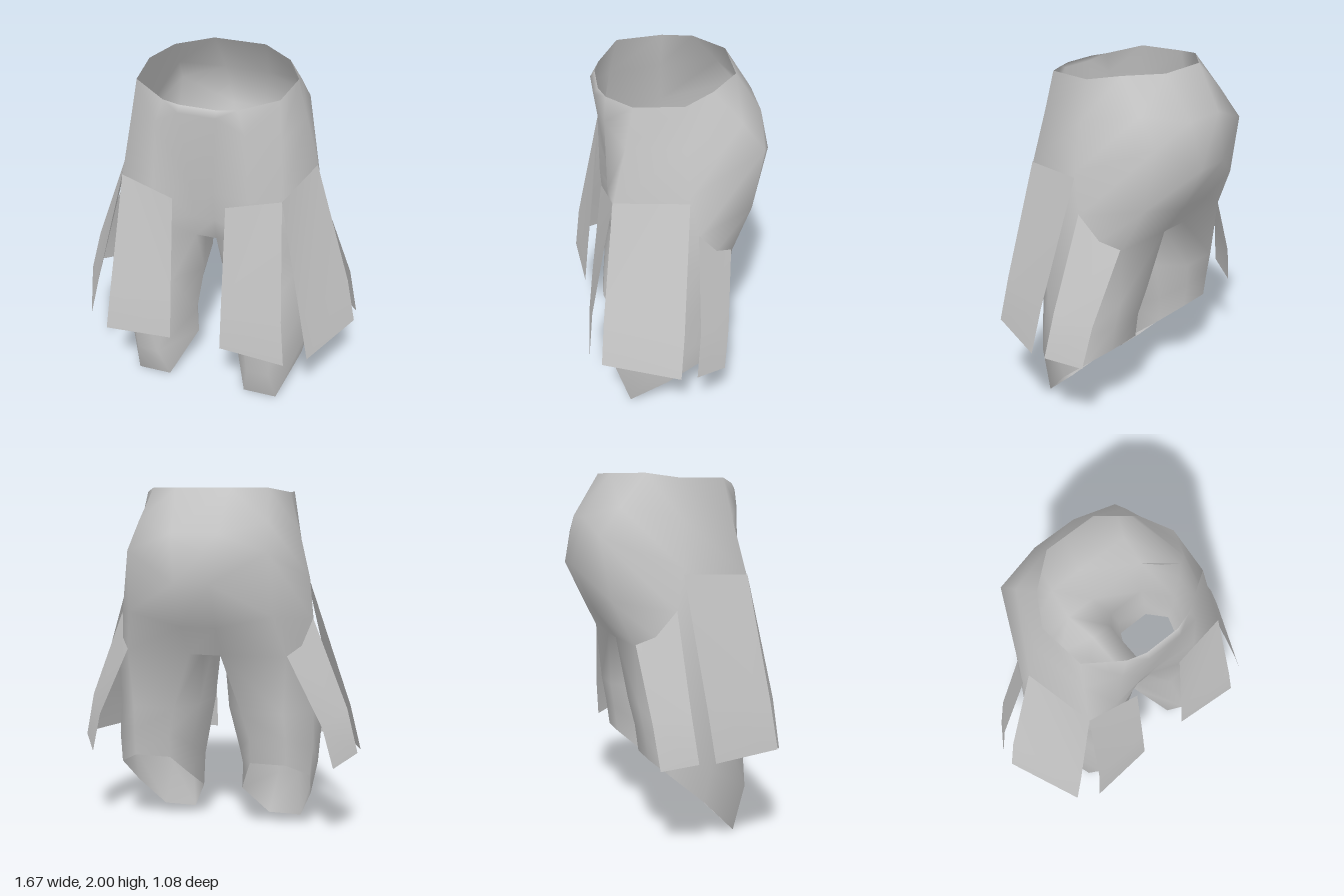
import * as THREE from 'three';
import { mergeVertices } from 'three/addons/utils/BufferGeometryUtils.js';

const mirror = ([x, y, z]) => [-x, y, z];

// Collects quads (a-b on the upper edge, d-e on the lower edge) into a smooth surface
function surface() {
  const pos = [];
  const quad = (a, b, d, e) => pos.push(...a, ...b, ...e, ...a, ...e, ...d);
  const mirrored = (...corners) => {
    const [a, b, d, e] = corners.map(mirror);
    pos.push(...a, ...e, ...b, ...a, ...d, ...e);
  };
  return {
    quad,
    mirrored,
    both(...corners) {
      quad(...corners);
      mirrored(...corners);
    },
    build() {
      const g = new THREE.BufferGeometry();
      g.setAttribute('position', new THREE.Float32BufferAttribute(pos, 3));
      const merged = mergeVertices(g, 1e-4);
      merged.computeVertexNormals();
      return merged;
    },
  };
}

// Half rings of the left side, running back - side - front
const torso = [
  [[.15, 2, -.33], [.33, 2, -.18], [.42, 1.975, -.02], [.39, 1.975, .24], [.2, 1.945, .36], [.1, 1.945, .39]],
  [[.13, 1.76, -.48], [.365, 1.82, -.33], [.475, 1.76, -.02], [.415, 1.76, .285], [.24, 1.82, .375], [.1, 1.91, .415]],
  [[.1, 1.5, -.54], [.39, 1.665, -.45], [.54, 1.5, -.03], [.45, 1.45, .36], [.27, 1.42, .375], [.06, 1.42, .35]],
  [[.1, 1.25, -.42], [.41, 1.32, -.39], [.57, 1.27, -.075], [.5, 1.2, .32], [.28, 1.2, .375], [.06, 1.22, .31]],
];
// Full leg rings: the same six columns, then the inner front and inner back
const leg = [
  [[.09, 1.08, -.29], [.46, 1.085, -.28], [.585, 1.05, -.08], [.57, 1.05, .22], [.32, 1.05, .365], [.06, 1.08, .28], [.06, 1.08, .1], [.06, 1.08, -.1]],
  [[.2, .75, -.25], [.44, .75, -.25], [.58, .75, -.08], [.6, .75, .14], [.42, .75, .34], [.2, .75, .32], [.06, .75, .14], [.09, .75, -.1]],
  [[.24, .6, -.22], [.45, .6, -.22], [.585, .55, -.1], [.575, .4, .12], [.41, .24, .38], [.28, .24, .39], [.12, .4, .12], [.15, .5, -.08]],
  [[.24, .45, -.2], [.45, .45, -.2], [.57, .38, -.11], [.54, .21, .09], [.44, 0, .3], [.24, 0, .3], [.12, .21, .09], [.18, .33, -.06]],
];

function trousers() {
  const s = surface();
  const rows = [...torso, leg[0]];
  for (let r = 0; r < rows.length - 1; r++) {
    const u = rows[r], l = rows[r + 1];
    for (let c = 0; c < 5; c++) s.both(u[c], u[c + 1], l[c], l[c + 1]);
    // centre strips at back and front
    s.quad(mirror(u[0]), u[0], mirror(l[0]), l[0]);
    s.quad(u[5], mirror(u[5]), l[5], mirror(l[5]));
  }
  // crotch strip between the legs
  const strip = [5, 6, 7, 0].map(i => leg[0][i]);
  for (let i = 0; i < 3; i++) s.quad(strip[i], mirror(strip[i]), strip[i + 1], mirror(strip[i + 1]));
  // legs
  for (let r = 0; r < leg.length - 1; r++)
    for (let c = 0; c < 8; c++) {
      const n = (c + 1) % 8;
      s.both(leg[r][c], leg[r][n], leg[r + 1][c], leg[r + 1][n]);
    }
  return s.build();
}

// Hanging skirt plates of the left side: rows of [rear edge, front edge]
const plates = {
  frontPlate: [
    [[.45, 1.45, .365], [.15, 1.375, .4]],
    [[.505, .76, .505], [.15, .76, .475]],
    [[.535, .48, .535], [.15, .48, .505]],
  ],
  sidePlate: [
    [[.545, 1.47, -.03], [.45, 1.45, .365]],
    [[.775, .77, .03], [.6, .77, .45]],
    [[.835, .51, .055], [.655, .51, .475]],
  ],
  rearPlate: [
    [[.46, 1.1, -.275], [.565, 1.29, -.075]],
    [[.66, .69, -.235], [.77, .77, -.06]],
    [[.72, .455, -.21], [.83, .51, -.035]],
  ],
};

function plate(rows, side) {
  const s = surface();
  for (let r = 0; r < rows.length - 1; r++) s[side](...rows[r], ...rows[r + 1]);
  return s.build();
}

export function createModel() {
  const model = new THREE.Group();
  model.name = 'platedTrousers';
  const grey = new THREE.MeshStandardMaterial({ color: 0xc6c6c6, side: THREE.DoubleSide });
  grey.name = 'light grey';

  const add = (name, geometry) => {
    const mesh = new THREE.Mesh(geometry, grey);
    mesh.name = name;
    model.add(mesh);
  };
  add('trousers', trousers());
  for (const [name, rows] of Object.entries(plates)) {
    add(name + 'Left', plate(rows, 'quad'));
    add(name + 'Right', plate(rows, 'mirrored'));
  }
  return model;
}
